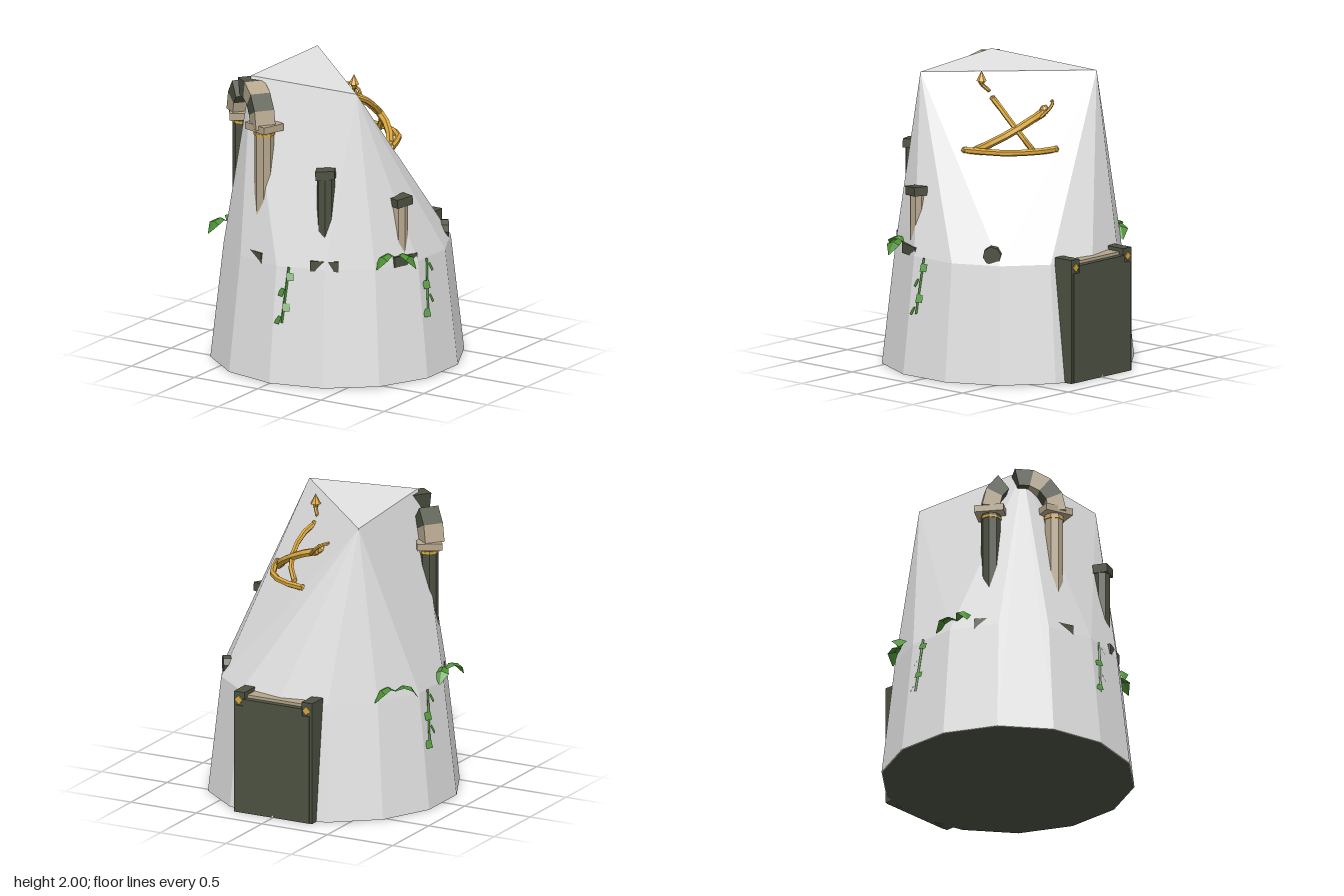
import * as THREE from 'three';
import { ConvexGeometry } from 'three/addons/geometries/ConvexGeometry.js';

const V = (x, y, z) => new THREE.Vector3(x, y, z);
const material = (name, color, extra = {}) => {
  const m = new THREE.MeshStandardMaterial({ color, flatShading: true, ...extra });
  m.name = name;
  return m;
};

export function createModel() {
  const rock = material('pale grey rock', 0xe3e3e3);
  const dark = material('dark mossy stone', 0x4d5242);
  const sand = material('sandstone', 0xb6a78d);
  const gold = material('old gold', 0xdaa73c);
  const green = material('leaf green', 0x489030, { side: THREE.DoubleSide });

  const model = new THREE.Group();
  model.name = 'ruinedRock';

  const add = (parent, name, geometry, mat, x = 0, y = 0, z = 0) => {
    const mesh = new THREE.Mesh(geometry, mat);
    mesh.name = name;
    mesh.position.set(x, y, z);
    parent.add(mesh);
    return mesh;
  };
  const box = (w, h, d) => new THREE.BoxGeometry(w, h, d);

  // Group on the rock wall: local +z points outward at the given angle from the front
  const onWall = (name, degrees, radius) => {
    const a = THREE.MathUtils.degToRad(degrees);
    const g = new THREE.Group();
    g.name = name;
    g.position.set(Math.sin(a) * radius, 0, Math.cos(a) * radius);
    g.rotation.y = a;
    model.add(g);
    return g;
  };

  // Rock: 14-sided plinth closing to three summit corners
  const points = [V(-0.42, 1.975, -0.42), V(-0.375, 2, 0.49), V(0.415, 1.975, 0.415)];
  for (let i = 0; i < 14; i++) {
    const a = (i / 14) * Math.PI * 2;
    points.push(V(Math.sin(a) * 0.855, 0.002, Math.cos(a) * 0.855));
    points.push(V(Math.sin(a) * 0.765, 0.8, Math.cos(a) * 0.765));
  }
  add(model, 'rock', new ConvexGeometry(points), rock);
  add(model, 'underside', new THREE.CircleGeometry(0.85, 14, Math.PI / 2), dark).rotation.x = Math.PI / 2;

  // Columns half sunk in the wall, each on a square base
  const column = (name, degrees, distance, baseFront, top, radius, mat) => {
    const g = onWall(name, degrees, distance);
    add(g, 'columnBase', box(0.19, 0.07, 0.2), dark, 0, 0.822, baseFront - distance - 0.1);
    add(g, 'columnShaft', new THREE.CylinderGeometry(radius, radius, top - 0.8, 8), mat, 0, (top + 0.8) / 2, 0);
    return g;
  };
  [
    ['leftArchColumn', -57, 1.66, dark],
    ['rightArchColumn', -18, 1.685, sand],
  ].forEach(([name, degrees, top, mat]) => {
    const g = column(name, degrees, 0.637, 0.742, top, 0.066, mat);
    add(g, 'goldBand', new THREE.CylinderGeometry(0.072, 0.072, 0.016, 8), gold, 0, top - 0.03, 0);
    add(g, 'capital', box(0.2, 0.048, 0.17), sand, 0, top + 0.02, 0);
  });
  [
    ['tallBrokenColumn', 25.5, 0.657, 1.42, 0.061, dark],
    ['shortBrokenColumn', 70, 0.682, 1.2, 0.056, sand],
  ].forEach(([name, degrees, distance, top, radius, mat]) => {
    const g = column(name, degrees, distance, 0.752, top, radius, mat);
    add(g, 'brokenTop', box(0.13, 0.06, 0.1), dark, 0, top + 0.025, 0.01).rotation.z = 0.08;
  });

  // Arch of alternating blocks, one of them fallen out
  const arch = onWall('arch', -37.5, 0.615);
  for (const i of [0, 1, 2, 3, 5, 6]) {
    const corner = (k, r) => new THREE.Vector2(Math.cos((k * Math.PI) / 7) * r, Math.sin((k * Math.PI) / 7) * r);
    const shape = new THREE.Shape([corner(i, 0.165), corner(i, 0.285), corner(i + 1, 0.285), corner(i + 1, 0.165)]);
    const block = new THREE.ExtrudeGeometry(shape, { depth: 0.14, bevelEnabled: false });
    add(arch, 'archBlock', block, i % 2 ? dark : sand, 0, 1.7, -0.07);
  }

  // Fallen column drum
  const drum = add(model, 'fallenDrum', new THREE.CylinderGeometry(0.062, 0.062, 0.13, 8), dark, 0.565, 0.865, -0.38);
  drum.quaternion.setFromUnitVectors(V(0, 1, 0), V(0.82, 0, -0.57).normalize());

  // Gate at the back
  const gate = new THREE.Group();
  gate.name = 'gate';
  model.add(gate);
  for (const s of [-1, 1]) {
    add(gate, 'gatePost', box(0.08, 0.845, 0.15), dark, s * 0.258, 0.4225, -0.77);
    add(gate, 'gateStud', box(0.04, 0.04, 0.02), gold, s * 0.258, 0.79, -0.843).rotation.z = Math.PI / 4;
  }
  add(gate, 'gatePanel', box(0.56, 0.75, 0.03), dark, 0, 0.377, -0.838);
  add(gate, 'gateLintel', box(0.45, 0.07, 0.07), dark, 0, 0.765, -0.818);
  add(gate, 'gateSill', box(0.43, 0.2, 0.1), sand, 0, 0.72, -0.76);

  // Gold relics fixed on the sloping face
  const rod = (name, pts, radius) => {
    const curve = new THREE.CatmullRomCurve3(pts.map((p) => V(...p)));
    const g = add(model, name, new THREE.TubeGeometry(curve, 5, radius, 6), gold);
    for (const p of [pts[0], pts[pts.length - 1]]) {
      add(g, 'rodEnd', new THREE.IcosahedronGeometry(radius * 1.2, 0), gold, ...p);
    }
  };
  rod('bowedRail', [[0, 1.5, -0.43], [0.13, 1.5, -0.4], [0.3, 1.5, -0.29], [0.38, 1.5, -0.14], [0.43, 1.5, 0]], 0.022);
  rod('longBranch', [[0.15, 1.81, 0], [0.18, 1.76, -0.1], [0.19, 1.69, -0.19], [0.175, 1.6, -0.28], [0.12, 1.5, -0.33]], 0.019);
  rod('thickBranch', [[-0.03, 1.72, -0.28], [0.1, 1.68, -0.275], [0.2, 1.63, -0.24], [0.3, 1.57, -0.17], [0.38, 1.5, -0.06]], 0.027);
  rod('hook', [[-0.12, 1.79, -0.29], [-0.1, 1.79, -0.315], [-0.05, 1.76, -0.335], [0.01, 1.7, -0.3]], 0.011);
  add(model, 'branchKnob', new THREE.IcosahedronGeometry(0.036, 0), gold, -0.055, 1.74, -0.28);

  // Finial near the summit
  add(model, 'finialTip', new THREE.ConeGeometry(0.036, 0.07, 7), gold, 0.18, 1.96, 0.075);
  add(model, 'finialCup', new THREE.CylinderGeometry(0.024, 0.014, 0.025, 7), gold, 0.18, 1.913, 0.075);
  rod('finialStem', [[0.18, 1.9, 0.07], [0.165, 1.88, 0.055], [0.15, 1.86, 0.04]], 0.012);

  // Drooping folded leaf along local +z, built from cross-sections
  const leafGeometry = () => {
    const rows = [[0, 0, 0.006], [0.055, 0.035, 0.035], [0.11, 0.02, 0.052], [0.16, -0.06, 0.003]];
    const pos = [], index = [];
    rows.forEach(([z, y, w], i) => {
      pos.push(-w, y - w * 0.35, z, 0, y, z, w, y - w * 0.35, z);
      if (i) {
        for (const k of [0, 1]) {
          const a = (i - 1) * 3 + k, b = a + 3;
          index.push(a, b, a + 1, b, b + 1, a + 1);
        }
      }
    });
    const g = new THREE.BufferGeometry();
    g.setAttribute('position', new THREE.Float32BufferAttribute(pos, 3));
    g.setIndex(index);
    g.computeVertexNormals();
    return g;
  };
  // Root x, y, z, then heading of each leaf
  [
    [0.67, 0.86, 0.34, 95, -17],
    [-0.73, 0.86, 0.22, 195, -22],
    [-0.67, 0.86, -0.365, -48, 150],
  ].forEach(([x, y, z, ...headings]) => {
    for (const h of headings) {
      add(model, 'leaf', leafGeometry(), green, x, y, z).rotation.y = THREE.MathUtils.degToRad(h);
    }
  });

  // Hanging vines with small leaves
  for (const degrees of [5.5, 83, 263.5]) {
    const vine = onWall('vine', degrees, 0);
    const at = (y) => [(y - 0.6) * 0.09, y, 0.84 - y * 0.103];
    const stem = new THREE.LineCurve3(V(...at(0.8)), V(...at(0.42)));
    add(vine, 'vineStem', new THREE.TubeGeometry(stem, 1, 0.009, 4), green);
    [0.74, 0.63, 0.53, 0.44].forEach((y, i) => {
      const s = i % 2 ? -1 : 1;
      const [x, , z] = at(y);
      const leaf = add(vine, 'vineLeaf', new THREE.PlaneGeometry(0.048, 0.055), green, x + s * 0.025, y, z + 0.014);
      leaf.rotation.set(-0.5, s * 0.4, s * 0.2);
    });
  }

  return model;
}
